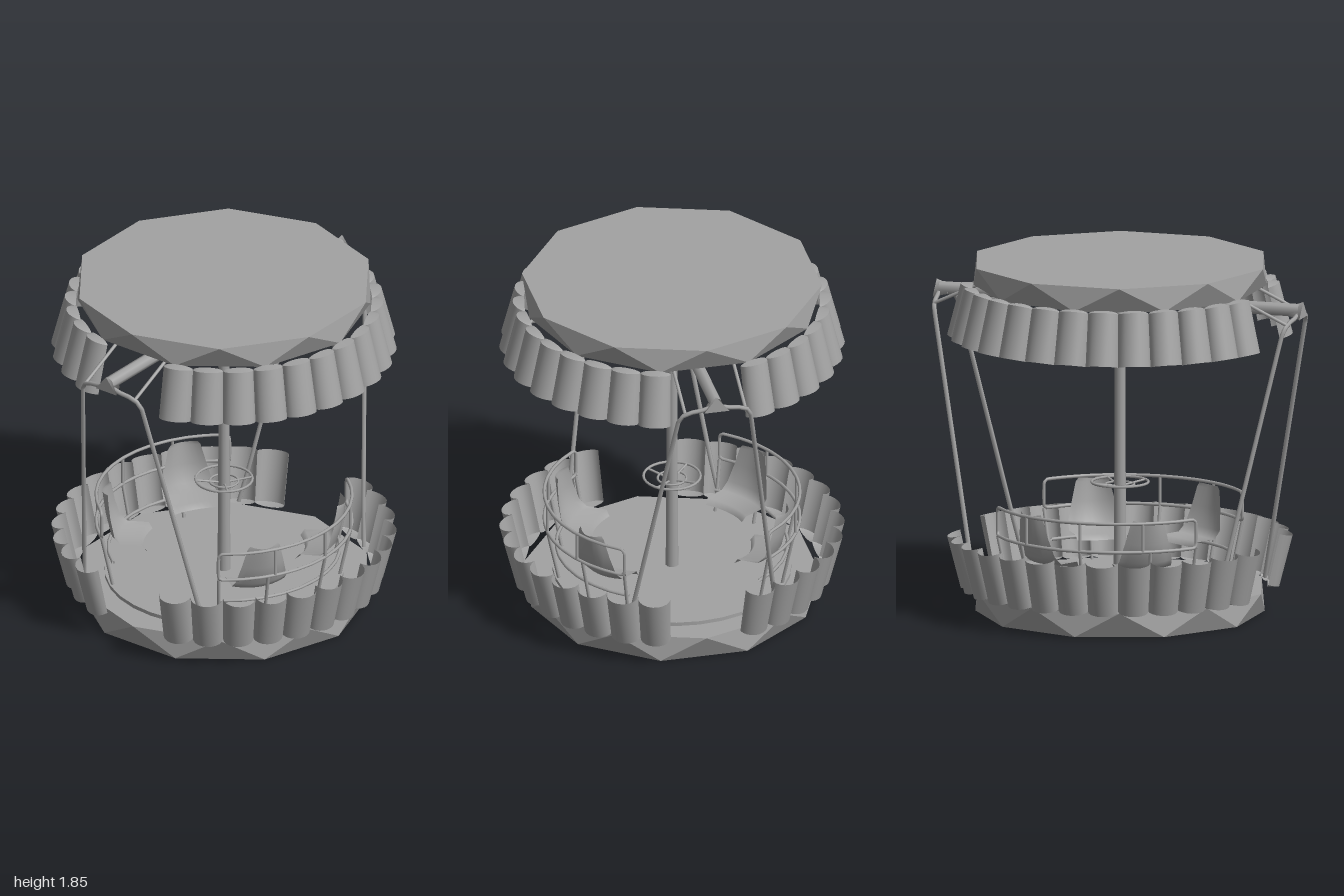
import * as THREE from 'three';

const grey = new THREE.MeshStandardMaterial({ color: 0xa3a3a3, side: THREE.DoubleSide });
grey.name = 'painted grey metal';

const V = (x, y, z) => new THREE.Vector3(x, y, z);

function add(parent, name, geometry, x = 0, y = 0, z = 0) {
  const mesh = new THREE.Mesh(geometry, grey);
  mesh.name = name;
  mesh.position.set(x, y, z);
  parent.add(mesh);
  return mesh;
}

function tube(parent, name, points, radius, closed = false, tension = 0.2) {
  const curve = new THREE.CatmullRomCurve3(points, closed, 'catmullrom', tension);
  return add(parent, name, new THREE.TubeGeometry(curve, points.length * 5, radius, 6, closed));
}

function rod(parent, name, a, b, radius) {
  return add(parent, name, new THREE.TubeGeometry(new THREE.LineCurve3(a, b), 1, radius, 8));
}

// Smooth sheet made from a rule f(u, v) -> Vector3
function sheet(nu, nv, f) {
  const pos = [], index = [];
  for (let j = 0; j <= nv; j++)
    for (let i = 0; i <= nu; i++) pos.push(...f(i / nu, j / nv).toArray());
  for (let j = 0; j < nv; j++)
    for (let i = 0; i < nu; i++) {
      const a = j * (nu + 1) + i, b = a + nu + 1;
      index.push(a, b, a + 1, a + 1, b, b + 1);
    }
  const g = new THREE.BufferGeometry();
  g.setAttribute('position', new THREE.Float32BufferAttribute(pos, 3));
  g.setIndex(index);
  g.computeVertexNormals();
  return g;
}

// Ten-sided slab whose lower ring is turned half a step, giving triangular rim facets
function facetedSlab(rTop, rBottom, height) {
  let g = new THREE.CylinderGeometry(rTop, rBottom, height, 10, 1);
  const p = g.attributes.position;
  const turn = Math.PI / 10, c = Math.cos(turn), s = Math.sin(turn);
  for (let i = 0; i < p.count; i++) {
    if (p.getY(i) > 0) continue;
    const x = p.getX(i), z = p.getZ(i);
    p.setXYZ(i, x * c + z * s, p.getY(i), z * c - x * s);
  }
  g = g.toNonIndexed();
  g.computeVertexNormals();
  return g;
}

// One tilted half-round panel: v = 0 narrow end, v = 1 wide end
const STEP = THREE.MathUtils.degToRad(11.7);
function scallopPoint(u, v) {
  const chord = 0.77 + 0.06 * v, depth = 0.06 + 0.01 * v;
  const t = Math.PI * u, bulge = Math.sin(t);
  return V(
    chord * Math.cos(STEP / 2) + depth * bulge,
    0.145 + 0.27 * v - 0.018 * bulge,
    chord * Math.sin(STEP / 2) * Math.cos(t));
}

function scallopRing(parent, name) {
  const ring = new THREE.Group();
  ring.name = name;
  const panel = sheet(10, 1, scallopPoint);
  const cap = sheet(10, 1, (u, v) => {
    const p = scallopPoint(u, 0);
    return V(THREE.MathUtils.lerp(0.765, p.x, v), p.y, p.z);
  });
  for (const side of [0, Math.PI])
    for (let i = -6; i <= 6; i++) {
      add(ring, 'scallopPanel', panel).rotation.y = side + i * STEP;
      add(ring, 'scallopCap', cap).rotation.y = side + i * STEP;
    }
  parent.add(ring);
  return ring;
}

const polar = (r, a, y) => V(r * Math.cos(a), y, r * Math.sin(a));

export function createModel() {
  const model = new THREE.Group();
  model.name = 'gondola';

  // Base and roof
  add(model, 'base', facetedSlab(0.77, 0.75, 0.135), 0, 0.0675, 0);
  add(model, 'deck', new THREE.CylinderGeometry(0.62, 0.62, 0.02, 32), 0, 0.145, 0);
  add(model, 'roof', facetedSlab(0.78, 0.76, 0.13), 0, 1.785, 0);

  // Scalloped skirts, the upper one mirrored
  scallopRing(model, 'lowerPanels');
  const upper = scallopRing(model, 'upperPanels');
  upper.scale.y = -1;
  upper.position.y = 1.86;

  // Centre pole with flared head
  add(model, 'pole', new THREE.LatheGeometry(
    [[0.034, 0.14], [0.03, 0.8], [0.028, 1.58], [0.045, 1.7]].map(([r, y]) => new THREE.Vector2(r, y)), 12));

  // Small hand wheel around the pole
  const wheel = new THREE.Group();
  wheel.name = 'handWheel';
  model.add(wheel);
  add(wheel, 'rim', new THREE.TorusGeometry(0.148, 0.007, 6, 28), 0, 0.68, 0).rotation.x = Math.PI / 2;
  add(wheel, 'innerRing', new THREE.TorusGeometry(0.075, 0.006, 6, 20), 0, 0.667, 0).rotation.x = Math.PI / 2;
  for (let i = 0; i < 4; i++) {
    const a = Math.PI / 4 + i * Math.PI / 2;
    rod(wheel, 'spoke', polar(0.02, a, 0.66), polar(0.148, a, 0.68), 0.006);
  }

  // Hanging beam and cross bar under the roof
  rod(model, 'hangingBeam', V(0, 1.645, -0.98), V(0, 1.645, 0.98), 0.034);
  rod(model, 'crossBar', V(-0.75, 1.7, 0), V(0.75, 1.7, 0), 0.014);

  for (const s of [1, -1]) {
    // Flared three-sided beam ends
    const flare = add(model, 'beamEnd', new THREE.CylinderGeometry(0.056, 0.03, 0.07, 3), 0, 1.635, s * 0.965);
    flare.rotation.x = s * Math.PI / 2;
    flare.scale.x = 1.4;
    if (s > 0) flare.rotation.y = Math.PI;

    // Splayed leg frame bent from one tube
    const half = [V(0.41, 0.14, 0.655), V(0.365, 0.4, 0.71), V(0.195, 1.53, 0.943),
      V(0.18, 1.575, 0.955), V(0.14, 1.6, 0.965), V(0.07, 1.613, 0.975)];
    const mirrored = half.map(p => V(-p.x, p.y, p.z)).reverse();
    const path = [...half, V(0, 1.635, 0.98), ...mirrored].map(p => V(p.x, p.y, p.z * s));
    tube(model, 'legFrame', path, 0.012, false, 0.15);

    // Struts tying the leg frame to the roof
    for (const x of [-0.16, 0.16])
      rod(model, 'roofStrut', V(x, 1.595, s * 0.96), V(x, 1.725, s * 0.68), 0.009);
  }

  // Curved rail and two bucket seats on each side
  for (const side of [0, Math.PI]) {
    const bay = new THREE.Group();
    bay.name = 'seatBay';
    bay.rotation.y = side;
    model.add(bay);

    const R = 0.663, A = 0.955, loop = [];
    for (let i = 0; i <= 12; i++) loop.push(polar(R, A * (i / 6 - 1) * 0.97, 0.585));
    loop.push(polar(R, A, 0.565), polar(R, A, 0.45));
    for (let i = 12; i >= 0; i--) loop.push(polar(R, A * (i / 6 - 1) * 0.97, 0.435));
    loop.push(polar(R, -A, 0.45), polar(R, -A, 0.565));
    tube(bay, 'seatRail', loop, 0.009, true);
    for (const a of [-0.5, 0, 0.5])
      rod(bay, 'railPost', polar(R, a, 0.435), polar(R, a, 0.585), 0.008);

    const low = [];
    for (let i = 0; i <= 10; i++) low.push(polar(0.6, A * (i / 5 - 1), 0.28));
    tube(bay, 'lowerRail', low, 0.009);
    for (const a of [-A, -0.56, 0, 0.56, A])
      rod(bay, 'seatSupport', polar(0.6, a, 0.14), polar(R, a, 0.435), 0.009);

    // Seat profile: radius, height, half width
    const profile = [[0.42, 0.29, 0.13], [0.44, 0.32, 0.14], [0.55, 0.32, 0.145],
      [0.59, 0.36, 0.14], [0.615, 0.46, 0.115], [0.63, 0.56, 0.09], [0.632, 0.58, 0.075]];
    const seat = sheet(8, profile.length - 1, (u, v) => {
      const [r, y, w] = profile[Math.round(v * (profile.length - 1))];
      const t = u * 2 - 1;
      return V(r - 0.035 * t * t, y + 0.01 * t * t, w * t);
    });
    for (const a of [-0.56, 0.56]) add(bay, 'seat', seat).rotation.y = a;
  }

  return model;
}
